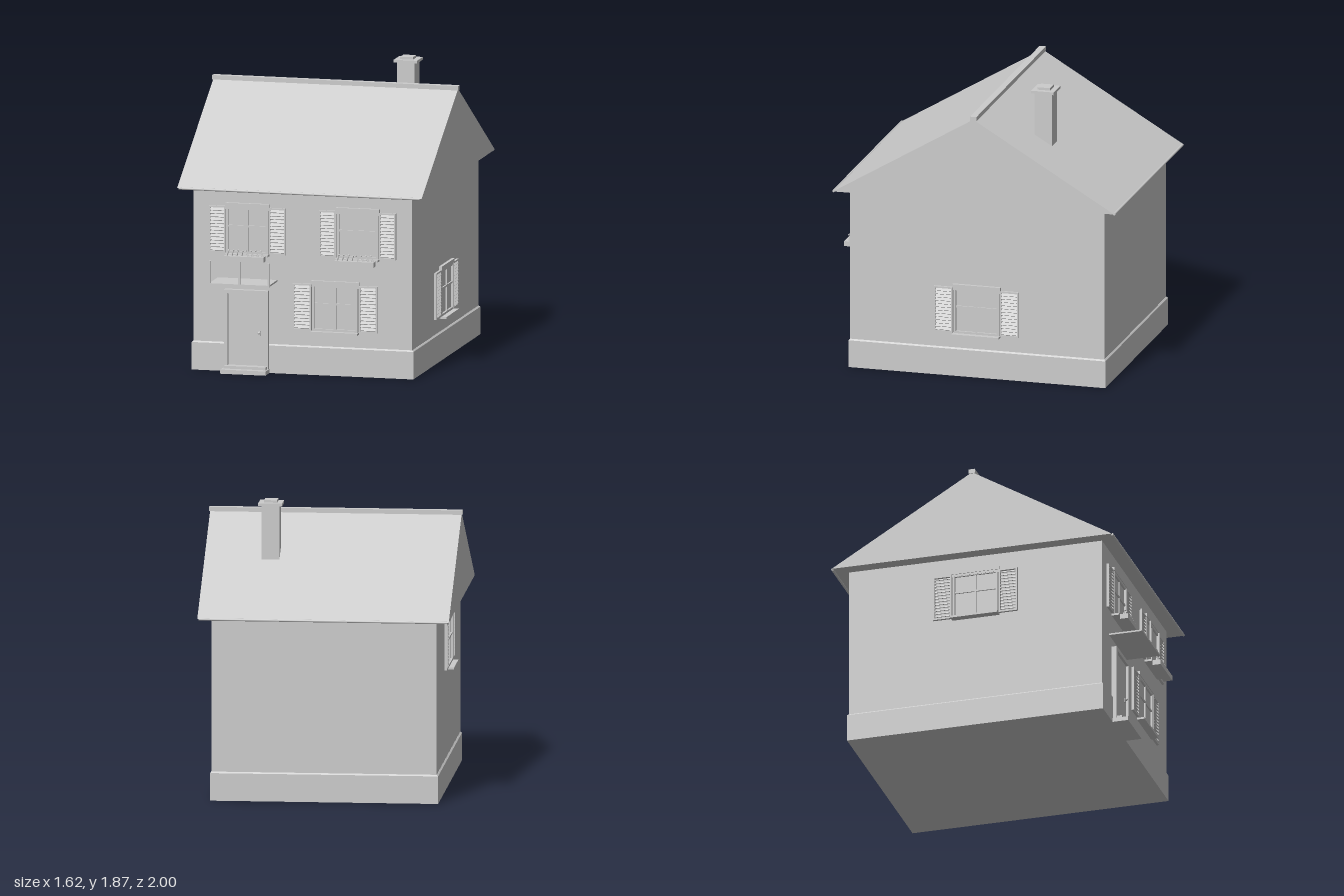
import * as THREE from 'three';

const grey = new THREE.MeshStandardMaterial({ color: 0xcccccc });
grey.name = 'plaster grey';

const FRONT = 0.78, BACK = -0.905, SIDE = 0.72, EAVE = 1.185, RIDGE_Z = -0.06;

function add(parent, name, geometry, x = 0, y = 0, z = 0) {
  const mesh = new THREE.Mesh(geometry, grey);
  mesh.name = name;
  mesh.position.set(x, y, z);
  parent.add(mesh);
  return mesh;
}

// Box given by its lower and upper limits on each axis
function box(parent, name, x0, x1, y0, y1, z0, z1) {
  return add(parent, name, new THREE.BoxGeometry(x1 - x0, y1 - y0, z1 - z0),
    (x0 + x1) / 2, (y0 + y1) / 2, (z0 + z1) / 2);
}

// Upright rectangular frame with a rectangular opening, extruded from z0
function frame(parent, name, x0, x1, y0, y1, border, z0, depth) {
  const rect = (T, a, b, c, d) => {
    const s = new T();
    s.moveTo(a, c); s.lineTo(b, c); s.lineTo(b, d); s.lineTo(a, d); s.closePath();
    return s;
  };
  const shape = rect(THREE.Shape, x0, x1, y0, y1);
  shape.holes.push(rect(THREE.Path, x0 + border, x1 - border, y0 + border, y1 - border));
  return add(parent, name, new THREE.ExtrudeGeometry(shape, { depth, bevelEnabled: false }), 0, 0, z0);
}

// Louvred shutter, standing on y = 0 against z = 0
function shutter(parent, x0, x1, height) {
  const g = new THREE.Group();
  g.name = 'shutter';
  parent.add(g);
  frame(g, 'shutterFrame', x0, x1, 0, height, 0.011, 0, 0.016);
  const count = 13, pitch = (height - 0.022) / count;
  for (let i = 0; i < count; i++) {
    const slat = box(g, 'slat', x0 + 0.01, x1 - 0.01, -0.002, 0.002, -0.011, 0.011);
    slat.position.set((x0 + x1) / 2, 0.011 + (i + 0.5) * pitch, 0.009);
    slat.rotation.x = 0.7;
  }
}

// Four-pane window with shutters; origin at the middle of its foot on the wall
function makeWindow(name, width, shutterWidth, withFlowers) {
  const g = new THREE.Group();
  g.name = name;
  const h = 0.302, w = width / 2;
  box(g, 'glass', -w + 0.01, w - 0.01, 0, h, -0.01, 0.003);
  frame(g, 'windowFrame', -w + 0.006, w - 0.006, 0, h, 0.014, 0, 0.016);
  box(g, 'mullion', -0.006, 0.006, 0.01, h - 0.01, 0, 0.012);
  box(g, 'transom', -w + 0.015, w - 0.015, 0.169, 0.181, 0, 0.012);
  box(g, 'lintel', -w, w, h - 0.018, h + 0.023, 0, 0.014);
  box(g, 'lintelCap', -w - 0.003, w + 0.003, h, h + 0.023, 0, 0.02);
  box(g, 'sill', -w, w, -0.013, 0, 0, 0.05);
  shutter(g, -w - shutterWidth, -w, h);
  shutter(g, w, w + shutterWidth, h);
  if (withFlowers) {
    const b = w - 0.012;
    box(g, 'flowerBox', -b, b, -0.038, -0.005, 0.05, 0.105);
    for (let i = 0; i < 8; i++) {
      const x = -b + 0.018 + i * (2 * b - 0.036) / 7;
      const leaf = add(g, 'flower', new THREE.ConeGeometry(0.009, 0.045, 5), x, 0.013, 0.075);
      leaf.rotation.z = i < 4 ? -0.35 : 0.35;
      add(g, 'blossom', new THREE.IcosahedronGeometry(0.006, 0), x + (i < 4 ? 0.007 : -0.007), 0.031, 0.08);
    }
  }
  return g;
}

export function createModel() {
  const house = new THREE.Group();
  house.name = 'house';

  // Walls and plinth with a sloped top edge
  box(house, 'walls', -SIDE, SIDE, 0, EAVE, BACK, FRONT);
  box(house, 'plinth', -0.73, 0.73, 0, 0.178, BACK - 0.009, FRONT + 0.009);
  const ledge = box(house, 'plinthLedge', -0.73, 0.73, 0.178, 0.187, BACK - 0.009, FRONT + 0.009);
  const p = ledge.geometry.attributes.position;
  for (let i = 0; i < p.count; i++) {
    if (p.getY(i) > 0) {
      p.setX(i, p.getX(i) - Math.sign(p.getX(i)) * 0.009);
      p.setZ(i, p.getZ(i) - Math.sign(p.getZ(i)) * 0.008);
    }
  }
  ledge.geometry.computeVertexNormals();

  // Solid gable roof: profile in (-z, y), extruded along x
  const gable = new THREE.Shape();
  gable.moveTo(-0.87, EAVE);
  gable.lineTo(0.995, EAVE);
  gable.lineTo(-RIDGE_Z, 1.74);
  gable.closePath();
  const roof = add(house, 'roof', new THREE.ExtrudeGeometry(gable, { depth: 1.61, bevelEnabled: false }), -0.805);
  roof.rotation.y = Math.PI / 2;
  box(house, 'ridgeCap', -0.81, 0.81, 1.732, 1.76, -0.082, -0.04);
  for (const z of [0.87, -0.992]) {
    const gutter = add(house, 'gutter', new THREE.CylinderGeometry(0.008, 0.008, 1.59, 10), 0, 1.184, z);
    gutter.rotation.z = Math.PI / 2;
  }

  // Chimney
  const chimney = new THREE.Group();
  chimney.name = 'chimney';
  chimney.position.set(0.383, 0, -0.42);
  house.add(chimney);
  box(chimney, 'shaft', -0.058, 0.058, 1.45, 1.84, -0.058, 0.058);
  box(chimney, 'cap', -0.077, 0.077, 1.838, 1.856, -0.075, 0.075);
  box(chimney, 'capTop', -0.042, 0.042, 1.856, 1.872, -0.042, 0.042);

  // Door and steps
  const door = new THREE.Group();
  door.name = 'frontDoor';
  house.add(door);
  frame(door, 'doorFrame', -0.51, -0.222, 0.02, 0.533, 0.024, FRONT, 0.035);
  box(door, 'doorLeaf', -0.488, -0.24, 0.03, 0.512, FRONT, FRONT + 0.018);
  add(door, 'doorKnob', new THREE.SphereGeometry(0.009, 12, 8), -0.28, 0.26, FRONT + 0.032);
  box(door, 'knobPlate', -0.285, -0.275, 0.24, 0.27, FRONT + 0.016, FRONT + 0.024);
  box(door, 'lowerStep', -0.515, -0.217, 0, 0.027, FRONT, 0.893);
  box(door, 'upperStep', -0.505, -0.227, 0.027, 0.045, FRONT, 0.85);

  // Canopy slab with three posts on its outer edge
  const canopy = new THREE.Group();
  canopy.name = 'canopy';
  house.add(canopy);
  box(canopy, 'slab', -0.56, -0.168, 0.592, 0.603, FRONT, 1.0);
  for (const x of [-0.557, -0.364, -0.17]) {
    box(canopy, 'post', x - 0.007, x + 0.007, 0.592, 0.748, 0.99, 1.0);
  }

  // Windows: [name, x, y, z, turn, width, shutter width, flowers]
  const windows = [
    ['upperRightWindow', -0.363, 0.767, FRONT, 0, 0.284, 0.111, true],
    ['upperLeftWindow', 0.363, 0.767, FRONT, 0, 0.284, 0.111, true],
    ['lowerFrontWindow', 0.215, 0.287, FRONT, 0, 0.312, 0.124, false],
    ['leftSideWindow', SIDE, 0.287, RIDGE_Z, Math.PI / 2, 0.312, 0.124, false],
    ['rightSideWindow', -SIDE, 0.767, RIDGE_Z, -Math.PI / 2, 0.312, 0.124, false],
  ];
  for (const [name, x, y, z, turn, width, shutterWidth, flowers] of windows) {
    const w = makeWindow(name, width, shutterWidth, flowers);
    w.position.set(x, y, z);
    w.rotation.y = turn;
    house.add(w);
  }
  return house;
}
